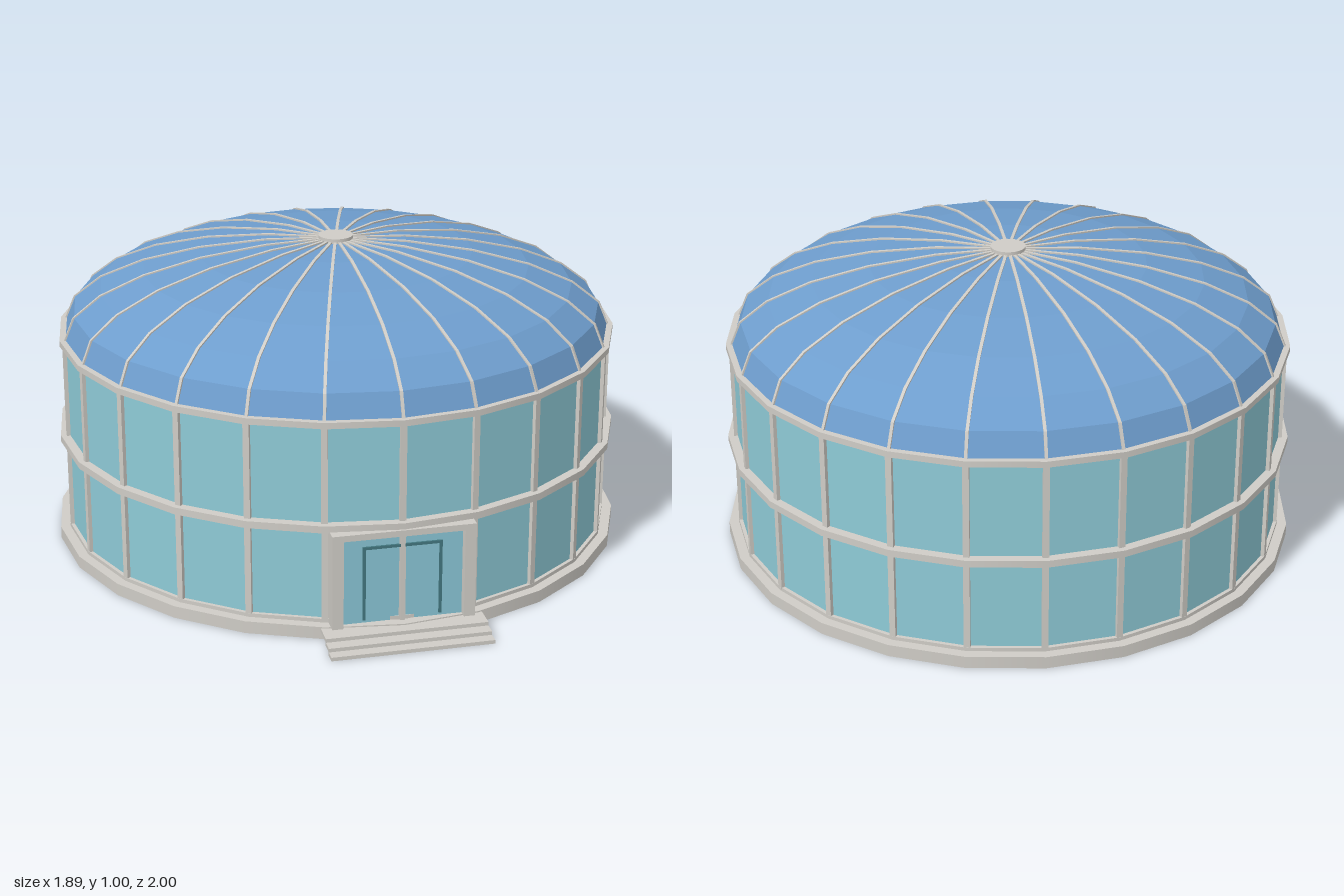
import * as THREE from 'three';

const SIDES = 24;
const R = 0.9;          // glass wall radius
const EAVE = 0.7;       // height where the dome starts
const RISE = 0.285;     // dome height

const material = (name, color, options = {}) => {
  const m = new THREE.MeshStandardMaterial({ color, ...options });
  m.name = name;
  return m;
};

export function createModel() {
  const model = new THREE.Group();
  model.name = 'domedPavilion';
  const stone = material('paleStone', 0xcfccc6);
  const glass = material('tealGlass', 0x8ecad6, { flatShading: true });
  const doorGlass = material('doorGlass', 0x88c4d4);
  const roof = material('blueRoof', 0x6e9dcd, { flatShading: true });
  const dark = material('darkTeal', 0x43777f);

  const add = (parent, name, geometry, mat, x = 0, y = 0, z = 0) => {
    const mesh = new THREE.Mesh(geometry, mat);
    mesh.name = name;
    mesh.position.set(x, y, z);
    parent.add(mesh);
    return mesh;
  };
  const box = (parent, name, w, h, d, mat, x, y, z) =>
    add(parent, name, new THREE.BoxGeometry(w, h, d), mat, x, y, z);
  const drum = (parent, name, radius, y0, y1, mat, open = false) =>
    add(parent, name, new THREE.CylinderGeometry(radius, radius, y1 - y0, SIDES, 1, open), mat, 0, (y0 + y1) / 2);

  // Round building, set back to leave room for the steps
  const rotunda = new THREE.Group();
  rotunda.name = 'rotunda';
  rotunda.position.z = -0.056;
  model.add(rotunda);

  drum(rotunda, 'base', 0.944, 0, 0.04, stone);
  drum(rotunda, 'glassWall', R, 0.04, EAVE, glass, true);
  drum(rotunda, 'sillBand', 0.912, 0.04, 0.052, stone);
  drum(rotunda, 'middleBand', 0.93, 0.347, 0.37, stone);
  drum(rotunda, 'eaveBand', 0.92, 0.68, EAVE, stone);

  // Faceted dome: a flattened hemisphere
  const domeGeometry = new THREE.SphereGeometry(R, SIDES, 6, 0, Math.PI * 2, 0, Math.PI / 2);
  domeGeometry.scale(1, RISE / R, 1);
  add(rotunda, 'dome', domeGeometry, roof, 0, EAVE);
  add(rotunda, 'crownCap', new THREE.CylinderGeometry(0.057, 0.057, 0.018, SIDES), stone, 0, 0.989);

  // Thin rib following the dome facets
  const arc = (offset) => Array.from({ length: 7 }, (_, i) => {
    const a = (i / 6) * Math.PI / 2;
    return new THREE.Vector2((R + offset) * Math.cos(a), (RISE + offset) * Math.sin(a));
  });
  const ribShape = new THREE.Shape([...arc(0.005), ...arc(-0.008).reverse()]);
  const ribGeometry = new THREE.ExtrudeGeometry(ribShape, { depth: 0.01, bevelEnabled: false });
  ribGeometry.translate(0, EAVE, -0.005);
  const mullionGeometry = new THREE.BoxGeometry(0.02, 0.64, 0.022);

  // One rib and one mullion on every corner of the drum
  for (let i = 0; i < SIDES; i++) {
    const a = (i / SIDES) * Math.PI * 2;
    add(rotunda, 'domeRib', ribGeometry, stone).rotation.y = a;
    const mullion = add(rotunda, 'mullion', mullionGeometry, stone, R * Math.sin(a), 0.365, R * Math.cos(a));
    mullion.rotation.y = a;
  }

  // Entrance portal with double doors
  const entrance = new THREE.Group();
  entrance.name = 'entrance';
  model.add(entrance);
  for (const s of [-1, 1]) {
    box(entrance, 'portalPost', 0.035, 0.31, 0.09, stone, s * 0.207, 0.195, 0.835);
    box(entrance, 'doorEdge', 0.009, 0.24, 0.008, dark, s * 0.12, 0.17, 0.853);
  }
  box(entrance, 'portalLintel', 0.449, 0.02, 0.09, stone, 0, 0.34, 0.835);
  box(entrance, 'doorGlass', 0.38, 0.29, 0.008, doorGlass, 0, 0.185, 0.847);
  box(entrance, 'doorHead', 0.249, 0.009, 0.008, dark, 0, 0.29, 0.853);
  box(entrance, 'doorDivider', 0.014, 0.29, 0.012, stone, 0, 0.185, 0.855);

  // Thin stair treads
  [[0.96, 1], [0.92, 0.965], [0.85, 0.925]].forEach(([z0, z1], i) =>
    box(entrance, 'step', 0.51, 0.012, z1 - z0, stone, 0, 0.006 + i * 0.012, (z0 + z1) / 2));

  return model;
}
